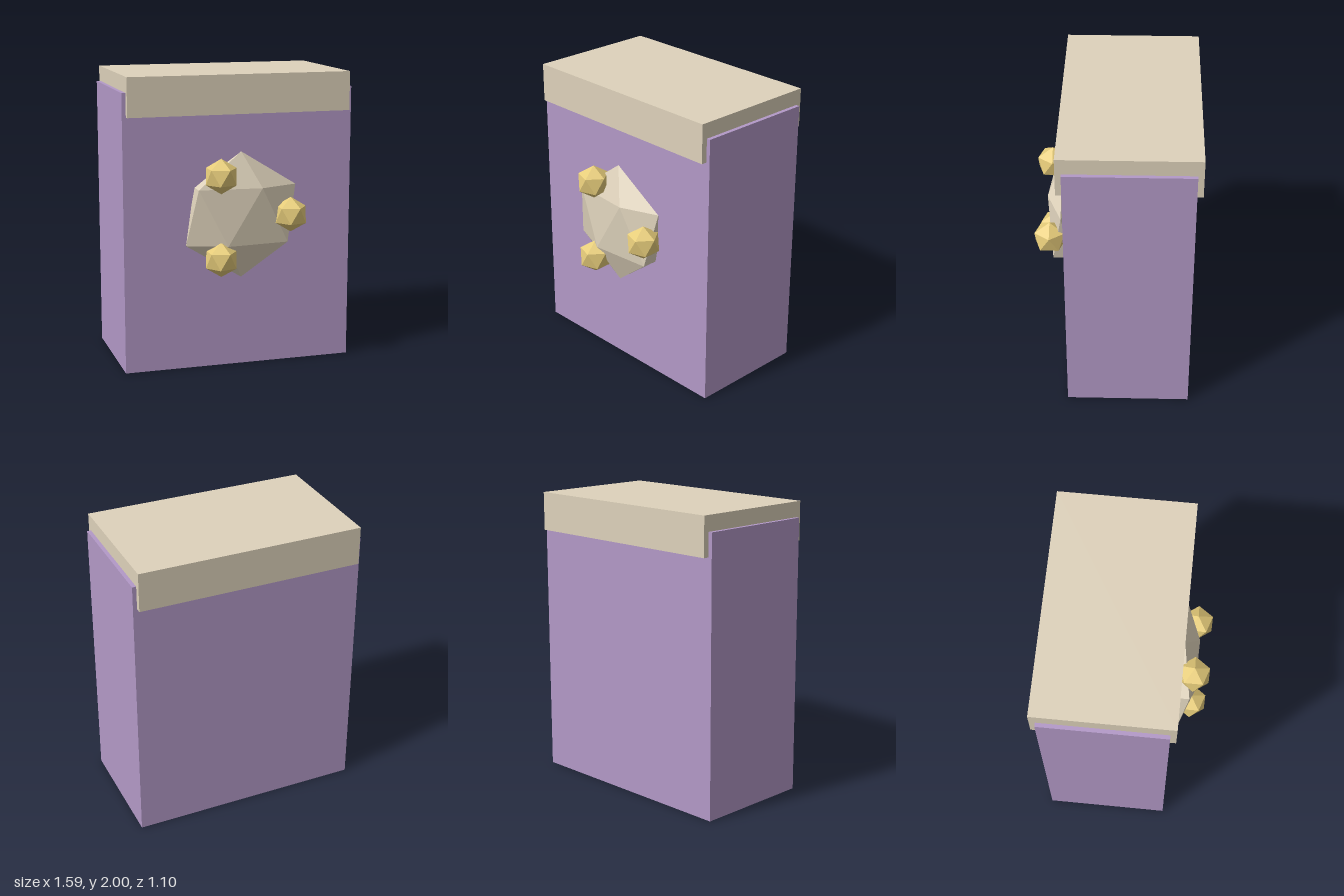
import * as THREE from 'three';
import { ConvexGeometry } from 'three/addons/geometries/ConvexGeometry.js';

const mat = (color) => new THREE.MeshStandardMaterial({ color, flatShading: true });

// Icosahedron standing on a vertex: two poles and two staggered rings of five
function icosahedron(radius) {
  const points = [new THREE.Vector3(0, radius, 0), new THREE.Vector3(0, -radius, 0)];
  const ringY = radius / Math.sqrt(5);
  const ringR = ringY * 2;
  for (let i = 0; i < 5; i++) {
    const a = (i * Math.PI * 2) / 5;
    points.push(new THREE.Vector3(ringR * Math.cos(a), ringY, ringR * Math.sin(a)));
    points.push(new THREE.Vector3(-ringR * Math.cos(a), -ringY, ringR * Math.sin(a)));
  }
  return new ConvexGeometry(points);
}

export function createModel() {
  const group = new THREE.Group();
  const add = (name, geometry, material, x, y, z) => {
    const mesh = new THREE.Mesh(geometry, material);
    mesh.name = name;
    mesh.position.set(x, y, z);
    group.add(mesh);
    return mesh;
  };
  const purple = mat(0xb399c7);
  const cream = mat(0xded2bb);
  const gold = mat(0xe6cc7a);

  // Block body and the slightly narrower cap overhanging front and back
  add('body', new THREE.BoxGeometry(1.594, 1.895, 0.836), purple, 0, 0.9475, -0.092);
  add('cap', new THREE.BoxGeometry(1.54, 0.264, 0.916), cream, 0, 1.868, -0.092);

  // Flattened faceted medallion set into the front
  const cy = 1.057;
  add('medallion', icosahedron(0.43), cream, 0, cy, 0.37).scale.z = 0.28;

  // Three gold studs evenly spaced around the medallion
  const stud = icosahedron(0.119);
  for (let i = 0; i < 3; i++) {
    const a = (i * Math.PI * 2) / 3;
    add('stud' + (i + 1), stud, gold, 0.325 * Math.cos(a), cy + 0.325 * Math.sin(a), 0.45);
  }
  return group;
}
